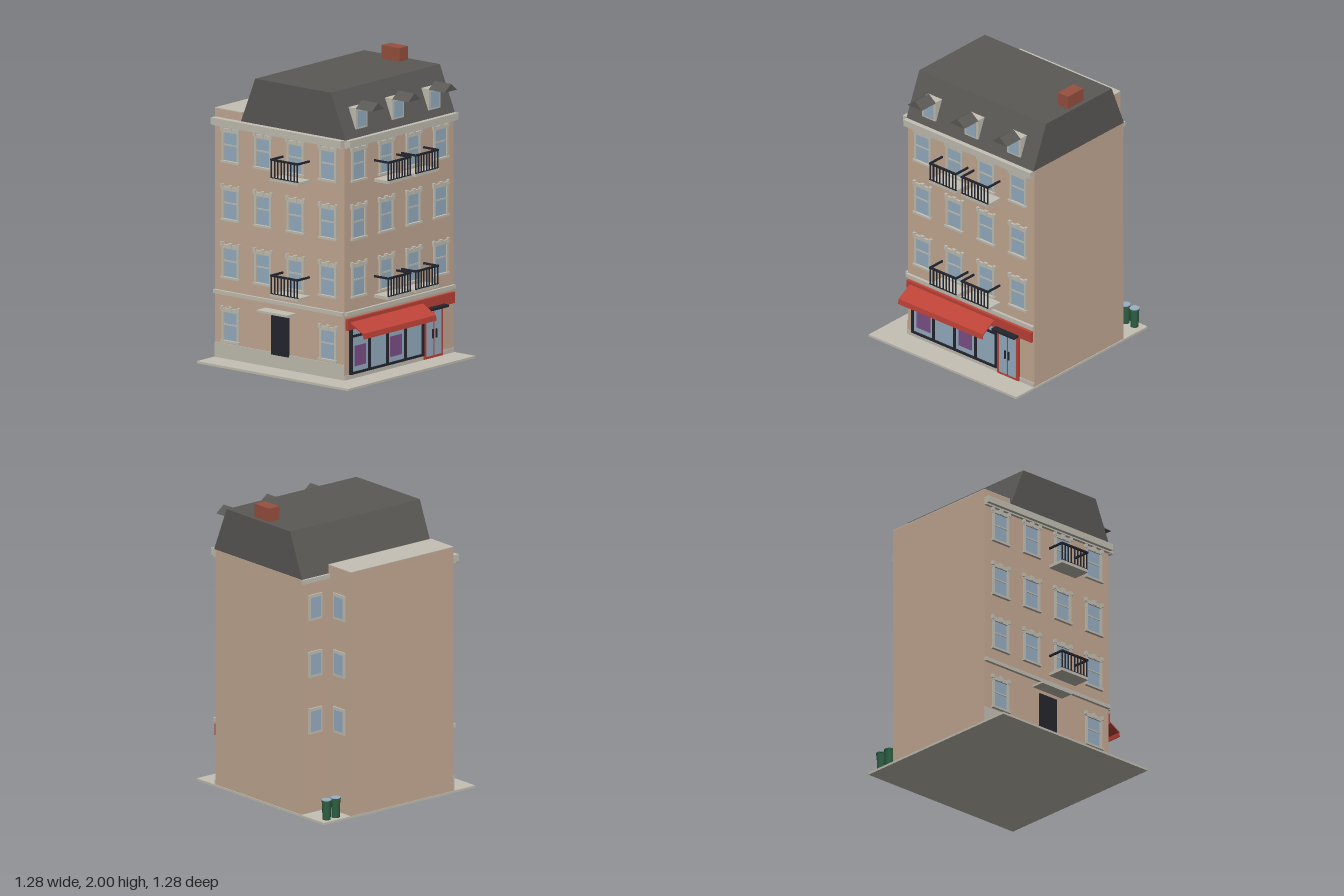
import * as THREE from 'three';

const mat = (name, color) => {
  const m = new THREE.MeshStandardMaterial({ color });
  m.name = name;
  return m;
};

export function createModel() {
  const stone = mat('stone', 0xc4c0b4), wall = mat('wall', 0xc6ab95), slate = mat('slate', 0x5b5956),
    brick = mat('brick', 0x98513f), red = mat('red', 0xbf4338), glass = mat('glass', 0x98b0c4),
    purple = mat('purple', 0x7e5288), iron = mat('iron', 0x24262f), green = mat('green', 0x2f6043);
  const model = new THREE.Group();
  model.name = 'cornerBuilding';

  const add = (parent, name, geometry, material) => {
    const mesh = new THREE.Mesh(geometry, material);
    mesh.name = name;
    parent.add(mesh);
    return mesh;
  };
  // Box given by its extents on each axis
  const box = (p, name, m, x0, x1, y0, y1, z0, z1) => {
    const mesh = add(p, name, new THREE.BoxGeometry(x1 - x0, y1 - y0, z1 - z0), m);
    mesh.position.set((x0 + x1) / 2, (y0 + y1) / 2, (z0 + z1) / 2);
    return mesh;
  };
  const group = (p, name, x = 0, y = 0, z = 0, turn = 0) => {
    const g = new THREE.Group();
    g.name = name;
    g.position.set(x, y, z);
    g.rotation.y = turn;
    p.add(g);
    return g;
  };
  // Polygon in (x, y), extruded along z
  const prism = (points, depth) => new THREE.ExtrudeGeometry(
    new THREE.Shape(points.map(([x, y]) => new THREE.Vector2(x, y))), { depth, bevelEnabled: false });

  // Ground and wall masses
  box(model, 'pavement', stone, -0.64, 0.64, 0, 0.015, -0.64, 0.64);
  box(model, 'mainWalls', wall, -0.46, 0.635, 0.015, 1.61, -0.41, 0.46);
  box(model, 'rearWing', wall, -0.46, 0.41, 0.015, 1.665, -0.638, -0.41);
  box(model, 'rearWingRoof', stone, -0.46, 0.41, 1.665, 1.67, -0.638, -0.41);

  // Mansard roof, profile drawn in (-z, y) and swept along x
  const roof = add(model, 'mansardRoof', prism([[-0.47, 1.61], [0.415, 1.61], [0.295, 1.91], [-0.345, 1.91]], 1.098), slate);
  roof.rotation.y = Math.PI / 2;
  roof.position.x = -0.462;
  box(model, 'chimney', brick, 0.52, 0.607, 1.9, 2, -0.05, 0.1);

  // Dormers
  for (const x of [-0.282, 0.085, 0.452]) {
    const d = group(model, 'dormer', x);
    box(d, 'dormerBody', stone, -0.058, 0.058, 1.66, 1.8, 0.33, 0.455);
    box(d, 'dormerGlass', glass, -0.042, 0.042, 1.672, 1.78, 0.455, 0.459);
    const gable = add(d, 'dormerRoof', prism([[-0.062, 1.798], [0.062, 1.798], [0, 1.846]], 0.138), slate);
    gable.position.z = 0.455;
  }

  // Facade frames: local z points out of each wall
  const front = group(model, 'frontFacade', 0, 0, 0.46);
  const side = group(model, 'sideFacade', -0.46, 0, 0, -Math.PI / 2);
  const wingSide = group(model, 'wingFacade', 0.41, 0, 0, Math.PI / 2);
  const rear = group(model, 'rearFacade', 0, 0, -0.41, Math.PI);

  // Cornices and string courses
  for (const [f, a, b] of [[front, -0.46, 0.635], [side, -0.638, 0.46]]) {
    box(f, 'cornice', stone, a, b, 1.565, 1.61, 0, 0.043);
    box(f, 'corniceUnderside', stone, a, b, 1.555, 1.565, 0, 0.02);
    box(f, 'stringCourse', stone, a, b, 0.44, 0.465, 0, 0.02);
  }
  box(rear, 'rearCornice', stone, -0.635, -0.41, 1.58, 1.61, 0, 0.022);
  box(front, 'frontPlinth', stone, -0.46, 0.635, 0.015, 0.045, 0, 0.006);
  box(side, 'sidePlinth', stone, -0.638, 0.46, 0.015, 0.115, 0, 0.006);

  // Sash window with a sill and a crowned lintel
  const sashWindow = (f, x, y, h = 0.24) => {
    const w = group(f, 'sashWindow', x, y);
    box(w, 'windowGlass', glass, -0.058, 0.058, 0.015, h - 0.035, 0, 0.004);
    box(w, 'windowSill', stone, -0.078, 0.078, 0, 0.014, 0, 0.02);
    box(w, 'sashRail', stone, -0.058, 0.058, h / 2 - 0.006, h / 2 + 0.004, 0, 0.008);
    box(w, 'windowLintel', stone, -0.074, 0.074, h - 0.038, h - 0.012, 0, 0.014);
    for (const s of [-1, 1]) {
      box(w, 'windowJamb', stone, s * 0.063 - 0.008, s * 0.063 + 0.008, 0.014, h - 0.035, 0, 0.012);
      box(w, 'lintelEnd', stone, s * 0.07 - 0.01, s * 0.07 + 0.01, h - 0.028, h, 0, 0.018);
    }
    box(w, 'keystone', stone, -0.014, 0.014, h - 0.035, h, 0, 0.018);
  };
  // Small framed window
  const plainWindow = (f, x, y) => {
    const w = group(f, 'plainWindow', x, y);
    box(w, 'plainFrame', stone, -0.057, 0.057, 0, 0.175, 0, 0.01);
    box(w, 'plainGlass', glass, -0.04, 0.04, 0.018, 0.157, 0.01, 0.014);
  };
  // Balcony with slab, bars and a handrail returning to the wall
  const balcony = (f, x, y) => {
    const b = group(f, 'balcony', x, y);
    box(b, 'balconySlab', stone, -0.116, 0.116, 0, 0.02, 0, 0.124);
    box(b, 'handrail', iron, -0.116, 0.116, 0.135, 0.148, 0.113, 0.125);
    box(b, 'bottomRail', iron, -0.116, 0.116, 0.02, 0.025, 0.115, 0.123);
    for (const s of [-1, 1]) box(b, 'railReturn', iron, s * 0.111 - 0.005, s * 0.111 + 0.005, 0.135, 0.148, 0, 0.115);
    for (let i = 0; i < 9; i++) {
      const bx = -0.11 + i * 0.0275;
      box(b, 'bar', iron, bx - 0.0035, bx + 0.0035, 0.02, 0.138, 0.115, 0.122);
    }
  };

  for (let floor = 0; floor < 3; floor++) {
    const y = 0.548 + floor * 0.385;
    for (let i = 0; i < 4; i++) {
      sashWindow(front, -0.325 + i * 0.275, y);
      sashWindow(side, -0.5 + i * 0.275, y);
    }
    plainWindow(wingSide, 0.525, y);
    plainWindow(rear, -0.525, y);
    if (floor !== 1) {
      balcony(front, -0.05, y - 0.033);
      balcony(front, 0.225, y - 0.033);
      balcony(side, 0.05, y - 0.033);
    }
  }

  // Side street ground floor
  sashWindow(side, -0.5, 0.125);
  sashWindow(side, 0.325, 0.125);
  box(side, 'sideDoor', iron, -0.155, -0.005, 0.1, 0.36, 0, 0.009);
  box(side, 'sideDoorCanopy', stone, -0.21, 0.05, 0.388, 0.402, 0, 0.092);

  // Shopfront
  const shop = group(front, 'shopfront');
  box(shop, 'shopGlass', glass, -0.41, 0.32, 0.05, 0.345, 0, 0.008);
  box(shop, 'shopSill', iron, -0.415, 0.32, 0.045, 0.06, 0, 0.018);
  box(shop, 'shopHead', iron, -0.415, 0.32, 0.29, 0.305, 0, 0.018);
  for (const x of [-0.406, -0.227, -0.043, 0.138, 0.314]) box(shop, 'shopPost', iron, x - 0.009, x + 0.009, 0.05, 0.345, 0, 0.018);
  for (const x of [-0.315, 0.046]) box(shop, 'poster', purple, x - 0.057, x + 0.057, 0.095, 0.23, 0.008, 0.012);
  box(shop, 'signBand', red, -0.452, 0.625, 0.345, 0.42, 0, 0.02);

  // Awning profile drawn in (-z, y) with a hanging valance
  const awning = add(shop, 'awning', prism([[-0.015, 0.392], [-0.015, 0.4], [-0.13, 0.336], [-0.135, 0.3], [-0.129, 0.3], [-0.126, 0.328]], 0.73), red);
  awning.rotation.y = Math.PI / 2;
  awning.position.x = -0.425;

  // Shop double door
  const door = group(shop, 'shopDoor');
  box(door, 'doorPanel', red, 0.325, 0.51, 0.018, 0.345, 0, 0.016);
  for (const x of [0.378, 0.457]) box(door, 'doorGlass', glass, x - 0.033, x + 0.033, 0.035, 0.335, 0.016, 0.02);
  for (const x of [0.402, 0.434]) box(door, 'doorHandle', iron, x - 0.004, x + 0.004, 0.15, 0.21, 0.02, 0.03);
  box(door, 'doorHood', iron, 0.32, 0.515, 0.345, 0.36, 0, 0.065);

  // Rubbish bins in the rear yard
  for (const x of [0.497, 0.574]) {
    const bin = group(model, 'bin', x, 0, -0.588);
    add(bin, 'binBody', new THREE.CylinderGeometry(0.031, 0.027, 0.125, 12), green).position.y = 0.0775;
    add(bin, 'binRim', new THREE.CylinderGeometry(0.034, 0.034, 0.01, 12), green).position.y = 0.141;
    add(bin, 'binLid', new THREE.CylinderGeometry(0.033, 0.033, 0.005, 12), glass).position.y = 0.1485;
  }
  return model;
}
